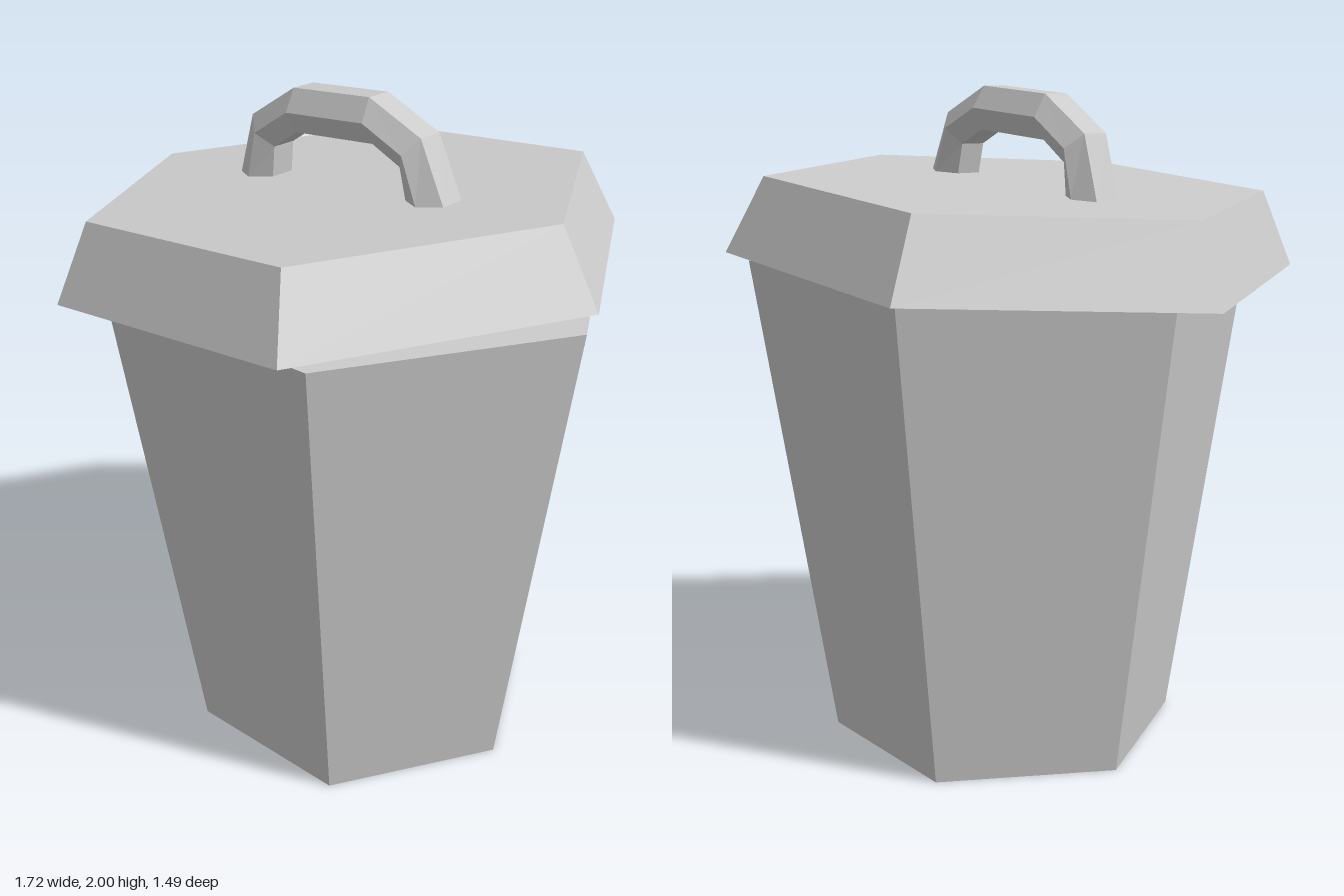
import * as THREE from 'three';

const material = new THREE.MeshStandardMaterial({ color: 0xcccccc, flatShading: true });

function part(name, geometry) {
  const mesh = new THREE.Mesh(geometry, material);
  mesh.name = name;
  return mesh;
}

// Six-sided frustum standing on y = 0, with corners on the x axis
function hexFrustum(topRadius, bottomRadius, height) {
  return new THREE.CylinderGeometry(topRadius, bottomRadius, height, 6)
    .rotateY(Math.PI / 2)
    .translate(0, height / 2, 0);
}

// Arched bar with a hexagonal section, swept from -x to +x
function handleGeometry() {
  // Half of the arch, foot to crown: outer x, y and inner x, y
  const half = [
    [0.39, 0, 0.257, 0],
    [0.321, 0.18, 0.241, 0.092],
    [0.143, 0.274, 0.146, 0.145],
  ];
  const stations = [
    ...half.map(([ox, oy, ix, iy]) => [-ox, oy, -ix, iy]),
    ...half.slice().reverse(),
  ];
  // Each section corner: blend from outer to inner, and z
  const section = [[0, 0.04], [0.5, 0.078], [1, 0.04], [1, -0.04], [0.5, -0.078], [0, -0.04]];
  const n = section.length;
  const positions = [];
  const indices = [];
  for (const [ox, oy, ix, iy] of stations) {
    for (const [t, z] of section) positions.push(ox + (ix - ox) * t, oy + (iy - oy) * t, z);
  }
  for (let i = 0; i < stations.length - 1; i++) {
    for (let k = 0; k < n; k++) {
      const a = i * n + k;
      const b = i * n + (k + 1) % n;
      indices.push(a, b, b + n, a, b + n, a + n);
    }
  }
  // End caps
  const last = (stations.length - 1) * n;
  for (let k = 1; k < n - 1; k++) {
    indices.push(0, k + 1, k, last, last + k, last + k + 1);
  }
  const indexed = new THREE.BufferGeometry();
  indexed.setAttribute('position', new THREE.Float32BufferAttribute(positions, 3));
  indexed.setIndex(indices);
  const geometry = indexed.toNonIndexed();
  geometry.computeVertexNormals();
  return geometry;
}

export function createModel() {
  const model = new THREE.Group();
  model.name = 'bin';

  // Tapered bin, a little off to the side of the lid
  const body = part('body', hexFrustum(0.765, 0.54, 1.49));
  body.position.x = 0.063;
  model.add(body);

  // Lid resting askew, carrying its handle
  const lidHeight = 0.225;
  const lidGroup = new THREE.Group();
  lidGroup.name = 'lidWithHandle';
  lidGroup.position.y = 1.489;
  lidGroup.rotation.z = 0.077;
  const handle = part('handle', handleGeometry());
  handle.position.y = lidHeight;
  lidGroup.add(part('lid', hexFrustum(0.752, 0.861, lidHeight)), handle);
  model.add(lidGroup);

  return model;
}
